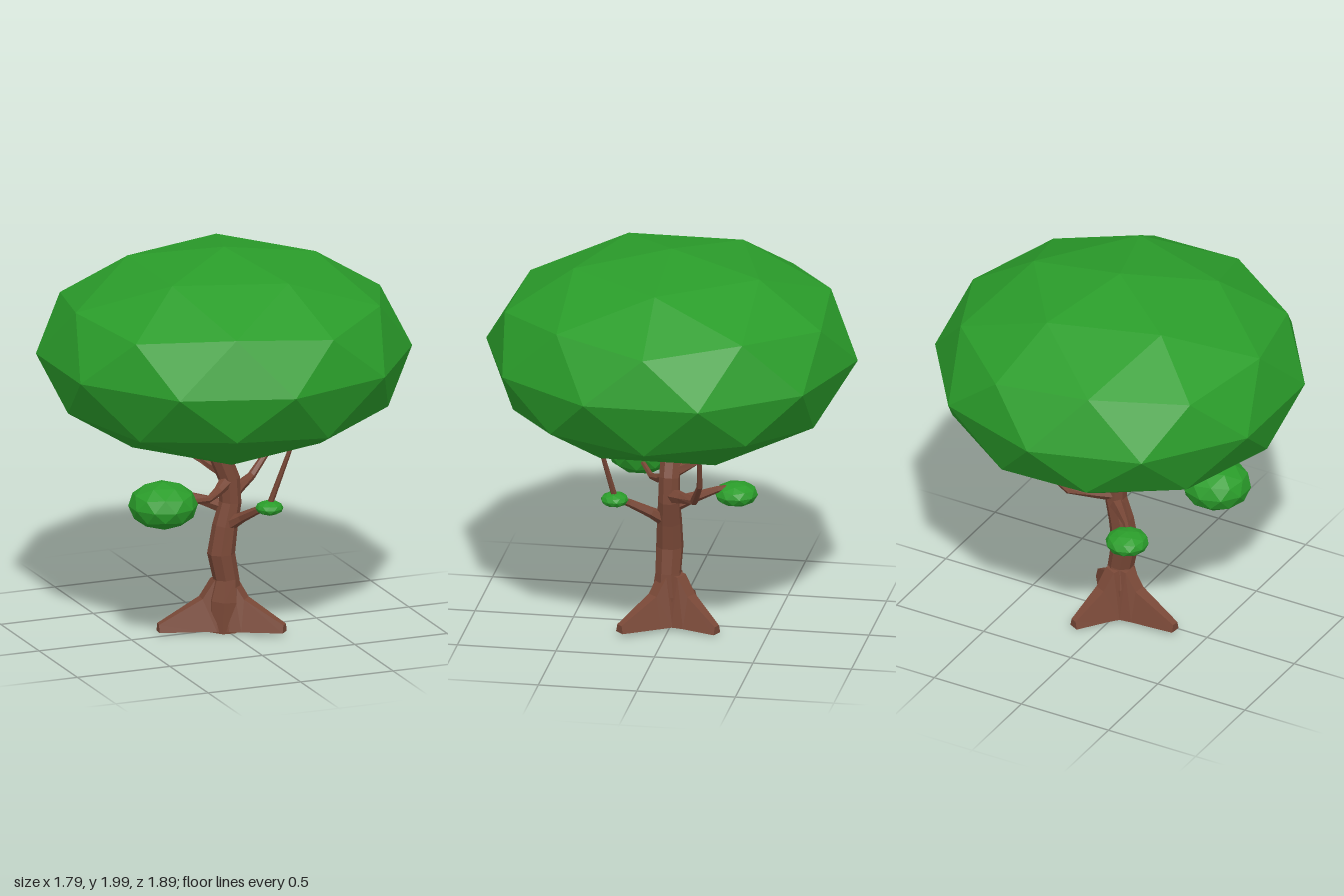
import * as THREE from 'three';

const V = (x, y, z) => new THREE.Vector3(x, y, z);
const bark = new THREE.MeshStandardMaterial({ color: 0x794837, flatShading: true });
const leaf = new THREE.MeshStandardMaterial({ color: 0x2a9c2a, flatShading: true });

// Closed skin over a list of rings, each counter-clockwise about the path
function loft(rings) {
  const pos = [];
  const tri = (...pts) => pts.forEach((p) => pos.push(p.x, p.y, p.z));
  const n = rings[0].length, last = rings[rings.length - 1];
  for (let k = 0; k < rings.length - 1; k++) {
    const a = rings[k], b = rings[k + 1];
    for (let i = 0; i < n; i++) {
      const j = (i + 1) % n;
      tri(a[i], a[j], b[j]);
      tri(a[i], b[j], b[i]);
    }
  }
  for (let i = 1; i < n - 1; i++) {
    tri(rings[0][0], rings[0][i + 1], rings[0][i]);
    tri(last[0], last[i], last[i + 1]);
  }
  const geo = new THREE.BufferGeometry();
  geo.setAttribute('position', new THREE.Float32BufferAttribute(pos, 3));
  geo.computeVertexNormals();
  return geo;
}

// Tapered limb through points given as [x, y, z, radius]
function limb(points, sides) {
  const c = points.map((p) => V(p[0], p[1], p[2]));
  return loft(points.map((p, k) => {
    const t = c[Math.min(k + 1, c.length - 1)].clone().sub(c[Math.max(k - 1, 0)]).normalize();
    const u = V(0, 0, 1).cross(t).normalize();
    const w = t.clone().cross(u);
    return Array.from({ length: sides }, (_, i) => {
      const a = ((i + 0.5) / sides) * Math.PI * 2;
      return c[k].clone().addScaledVector(u, p[3] * Math.cos(a)).addScaledVector(w, p[3] * Math.sin(a));
    });
  }));
}

// Root running out to [x, z], wide at the trunk and blunt at its tip
function root(x, z, y) {
  const len = Math.hypot(x, z);
  const ring = (d, low, high, y0, y1) =>
    [V(-low, y0, d), V(low, y0, d), V(high, y1, d), V(-high, y1, d)];
  const geo = loft([
    ring(0, 0.085, 0.04, 0.02, 0.28),
    ring(0.06, 0.085, 0.035, 0.02, 0.27),
    ring(0.12, 0.07, 0.032, 0.02, 0.18),
    ring(len, 0.028, 0.018, y, y + 0.04),
  ]);
  return geo.rotateY(Math.atan2(x, z));
}

// Flattened faceted leaf ball with a vertex at the top
function leafBall(x, y, z, rx, ry) {
  const geo = new THREE.IcosahedronGeometry(1, 1);
  geo.rotateZ(-Math.atan(2 / (1 + Math.sqrt(5))));
  geo.scale(rx, ry, rx).translate(x, y, z);
  geo.computeVertexNormals();
  return geo;
}

export function createModel() {
  const tree = new THREE.Group();
  tree.name = 'tree';
  const add = (name, geo, mat) => {
    const mesh = new THREE.Mesh(geo, mat);
    mesh.name = name;
    tree.add(mesh);
  };

  // Bent trunk with a flared foot
  add('trunk', limb([
    [-0.01, 0.01, 0.01, 0.09], [-0.005, 0.17, 0.015, 0.088], [0.003, 0.28, 0.018, 0.066],
    [-0.022, 0.41, 0.015, 0.07], [0.0, 0.55, 0.013, 0.064], [0.03, 0.67, 0.01, 0.056],
    [0.025, 0.79, 0.008, 0.054], [-0.035, 0.94, 0.005, 0.055], [-0.06, 1.06, 0.005, 0.05],
  ], 8), bark);

  // Roots
  [[0.235, 0.225, 0.025], [-0.34, -0.04, 0.02], [0.125, -0.25, 0.01]]
    .forEach(([x, z, y], i) => add(`root${i + 1}`, root(x, z, y), bark));

  // Branches
  const branches = {
    rightFrontBranch: [[0.02, 0.79, 0.01, 0.04], [-0.06, 0.75, 0.07, 0.025],
      [-0.14, 0.73, 0.13, 0.016], [-0.3, 0.755, 0.21, 0.012]],
    rightBackBranch: [[0.02, 0.64, 0, 0.042], [-0.05, 0.655, -0.08, 0.03],
      [-0.15, 0.675, -0.2, 0.017], [-0.2, 0.68, -0.27, 0.012]],
    leftFrontBranch: [[0.0, 0.55, 0.02, 0.04], [0.055, 0.61, 0.1, 0.027],
      [0.1, 0.67, 0.2, 0.02], [0.135, 0.7, 0.262, 0.016]],
    leftFrontTwig: [[0.13, 0.69, 0.262, 0.016], [0.22, 1.0, 0.325, 0.011], [0.25, 1.1, 0.345, 0.008]],
    leftBackBranch: [[0.02, 0.695, 0.01, 0.045], [0.11, 0.715, -0.07, 0.03],
      [0.21, 0.74, -0.15, 0.021], [0.335, 0.865, -0.2, 0.015], [0.395, 1.02, -0.21, 0.011],
      [0.42, 1.12, -0.215, 0.008]],
    backBranch: [[0.02, 0.82, 0.0, 0.042], [-0.035, 0.845, -0.08, 0.028],
      [-0.095, 0.88, -0.17, 0.018], [-0.115, 0.965, -0.25, 0.013], [-0.13, 1.08, -0.32, 0.009]],
  };
  for (const [name, pts] of Object.entries(branches)) add(name, limb(pts, 6), bark);

  // Canopy and the small leaf clusters
  add('canopy', leafBall(0, 1.465, 0, 0.943, 0.535), leaf);
  add('rightFrontLeaves', leafBall(-0.425, 0.765, 0.23, 0.175, 0.12), leaf);
  add('rightBackLeaves', leafBall(-0.205, 0.64, -0.29, 0.11, 0.06), leaf);
  add('leftFrontLeaves', leafBall(0.135, 0.697, 0.267, 0.07, 0.037), leaf);
  return tree;
}
